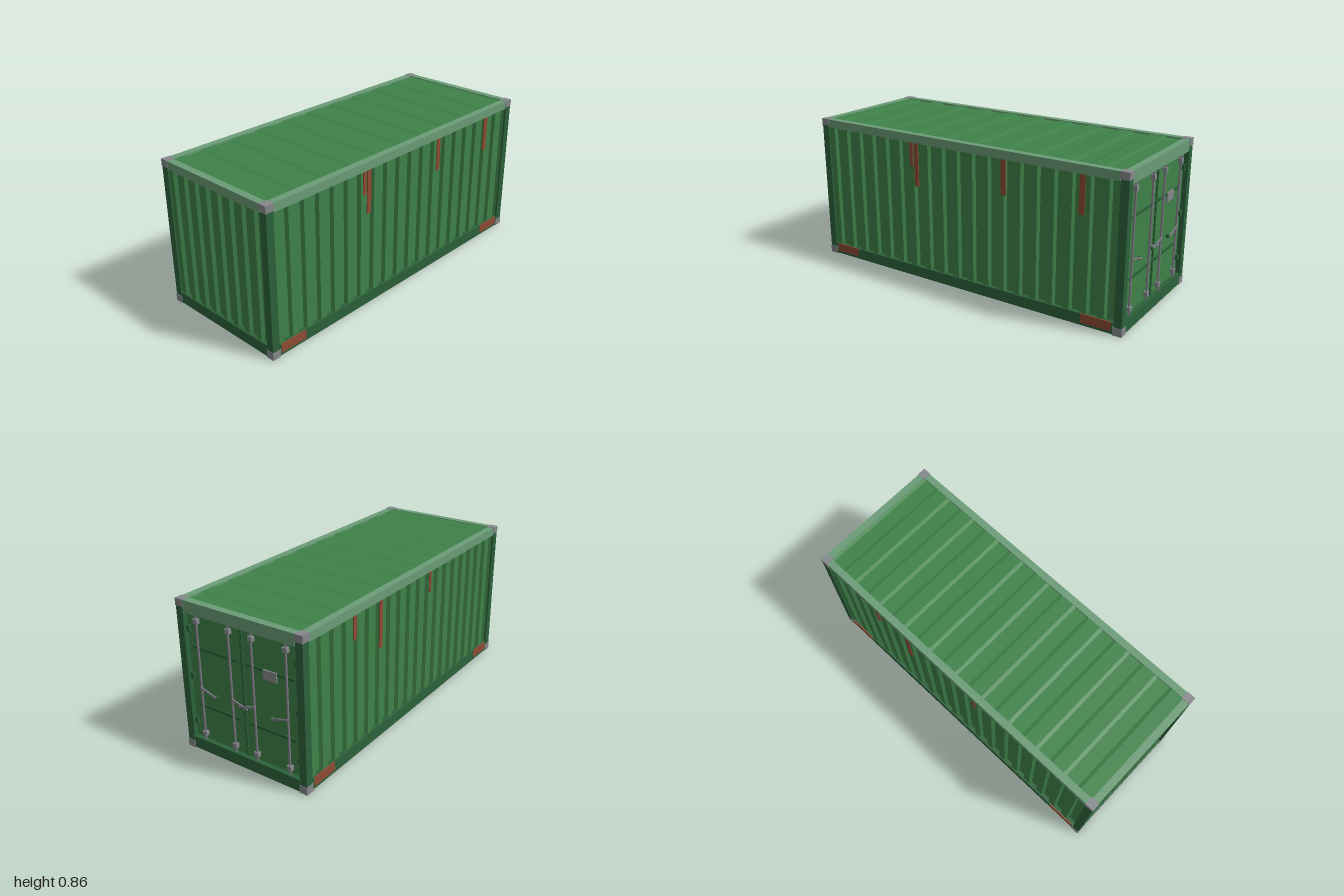
import * as THREE from 'three';

const mat = (name, color, side = THREE.FrontSide) => {
  const m = new THREE.MeshStandardMaterial({ color, side });
  m.name = name;
  return m;
};

// Trapezoid-corrugated sheet in the XY plane, facing +z, ridges along y
function corrugated(length, height, depth, waves) {
  const profile = [];
  const p = length / waves;
  for (let i = 0; i < waves; i++) {
    const x = -length / 2 + i * p;
    profile.push([x, 0], [x + 0.4 * p, 0], [x + 0.5 * p, -depth], [x + 0.9 * p, -depth]);
  }
  profile.push([length / 2, 0]);
  const pos = [];
  const h = height / 2;
  for (let i = 0; i < profile.length - 1; i++) {
    const [x0, z0] = profile[i];
    const [x1, z1] = profile[i + 1];
    pos.push(x0, -h, z0, x1, -h, z1, x1, h, z1, x0, -h, z0, x1, h, z1, x0, h, z0);
  }
  const g = new THREE.BufferGeometry();
  g.setAttribute('position', new THREE.Float32BufferAttribute(pos, 3));
  g.computeVertexNormals();
  return g;
}

export function createModel() {
  const root = new THREE.Group();
  root.name = 'shippingContainer';

  const panel = mat('panelGreen', 0x3f8249);
  const sheet = mat('sheetGreen', 0x3f8249, THREE.DoubleSide);
  sheet.color = panel.color;
  const frame = mat('frameDarkGreen', 0x2c613a);
  const rail = mat('railLightGreen', 0x6b9c77);
  const steel = mat('castingGrey', 0x85888c);
  const rodGrey = mat('rodGrey', 0x7f7b85);
  const rust = mat('rust', 0x8f4c34);

  const add = (name, geometry, material, x, y, z, parent = root) => {
    const m = new THREE.Mesh(geometry, material);
    m.name = name;
    m.position.set(x, y, z);
    parent.add(m);
    return m;
  };
  // Box given by its minimum and maximum on each axis
  const box = (name, material, x0, x1, y0, y1, z0, z1, parent) =>
    add(name, new THREE.BoxGeometry(x1 - x0, y1 - y0, z1 - z0), material,
      (x0 + x1) / 2, (y0 + y1) / 2, (z0 + z1) / 2, parent);
  const span = (s, a, b) => (s > 0 ? [a, b] : [-b, -a]);

  // Corner posts and corner castings
  for (const sx of [1, -1]) {
    for (const sz of [1, -1]) {
      box('cornerPost', frame, ...span(sx, 0.953, 0.998), 0.04, 0.815, ...span(sz, 0.355, 0.398));
      for (const y of [0, 0.815]) {
        box('cornerCasting', steel, ...span(sx, 0.948, 1), y, y ? 0.855 : 0.044, ...span(sz, 0.352, 0.4));
      }
    }
  }

  // Long rails and corrugated side walls
  for (const s of [1, -1]) {
    box('topSideRail', rail, -0.948, 0.948, 0.805, 0.853, ...span(s, 0.357, 0.397));
    box('bottomSideRail', frame, -0.948, 0.948, 0.003, 0.067, ...span(s, 0.355, 0.397));
    const wall = add('sideWall', corrugated(1.908, 0.75, 0.018, 19), sheet, 0, 0.435, s * 0.389);
    if (s < 0) wall.rotation.y = Math.PI;
  }

  // Closed end
  box('endTopRail', rail, -0.997, -0.957, 0.805, 0.853, -0.352, 0.352);
  box('endBottomRail', frame, -0.997, -0.953, 0.003, 0.067, -0.352, 0.352);
  add('endWall', corrugated(0.714, 0.75, 0.018, 8), sheet, -0.989, 0.435, 0).rotation.y = -Math.PI / 2;

  // Shallow corrugated roof
  add('roof', corrugated(1.92, 0.716, 0.006, 10), sheet, 0, 0.849, 0).rotation.x = -Math.PI / 2;

  // Door frame
  box('doorHeader', rail, 0.957, 0.997, 0.787, 0.853, -0.352, 0.352);
  box('doorSill', frame, 0.953, 0.997, 0.003, 0.07, -0.352, 0.352);

  // Doors, mirrored about the middle
  const rodGeo = new THREE.CylinderGeometry(0.006, 0.006, 0.715, 10);
  for (const s of [1, -1]) {
    const door = new THREE.Group();
    door.name = s > 0 ? 'leftDoor' : 'rightDoor';
    root.add(door);
    box('doorPanel', panel, 0.952, 0.97, 0.07, 0.787, ...span(s, 0.002, 0.355), door);
    box('doorSeal', frame, 0.965, 0.976, 0.07, 0.785, ...span(s, 0.001, 0.007), door);
    for (const y of [0.267, 0.596]) {
      box('doorRib', frame, 0.968, 0.975, y - 0.008, y + 0.008, ...span(s, 0.028, 0.325), door);
    }
    for (const y of [0.165, 0.43, 0.695]) {
      box('hinge', frame, 0.968, 0.984, y - 0.017, y + 0.017, ...span(s, 0.334, 0.356), door);
    }
    // Locking rods with guides, handles and handle catches
    for (const z of [0.073, 0.284]) {
      add('lockingRod', rodGeo, rodGrey, 0.982, 0.427, s * z, door);
      for (const y of [0.107, 0.75]) {
        box('rodGuide', steel, 0.97, 0.992, y - 0.013, y + 0.013, s * z - 0.0135, s * z + 0.0135, door);
      }
      const handle = add('lockHandle', new THREE.BoxGeometry(0.007, 0.009, 0.108), rodGrey,
        0.988, 0.365, s * (z - 0.051), door);
      handle.rotation.x = -s * 0.285;
      const end = s * (z - 0.1);
      box('handleCatch', frame, 0.968, 0.985, 0.34, 0.357, end - 0.01, end + 0.01, door);
    }
  }
  box('dataPlate', steel, 0.972, 0.98, 0.553, 0.605, -0.219, -0.135);

  // Rust streaks below the top rails: x min, x max, lower end
  const streaks = {
    1: [[-0.336, -0.314, 0.67], [-0.305, -0.277, 0.555], [0.275, 0.304, 0.61], [0.734, 0.765, 0.595]],
    [-1]: [[0.565, 0.588, 0.67], [0.326, 0.354, 0.535], [-0.175, -0.155, 0.68]],
  };
  for (const s of [1, -1]) {
    for (const [x0, x1, y] of streaks[s]) {
      box('rustStreak', rust, x0, x1, y, 0.805, ...span(s, 0.387, 0.393));
    }
    for (const [x0, x1] of [[-0.94, -0.772], [0.767, 0.938]]) {
      box('rustPatch', rust, x0, x1, 0.017, 0.068, ...span(s, 0.393, 0.399));
    }
  }
  return root;
}
